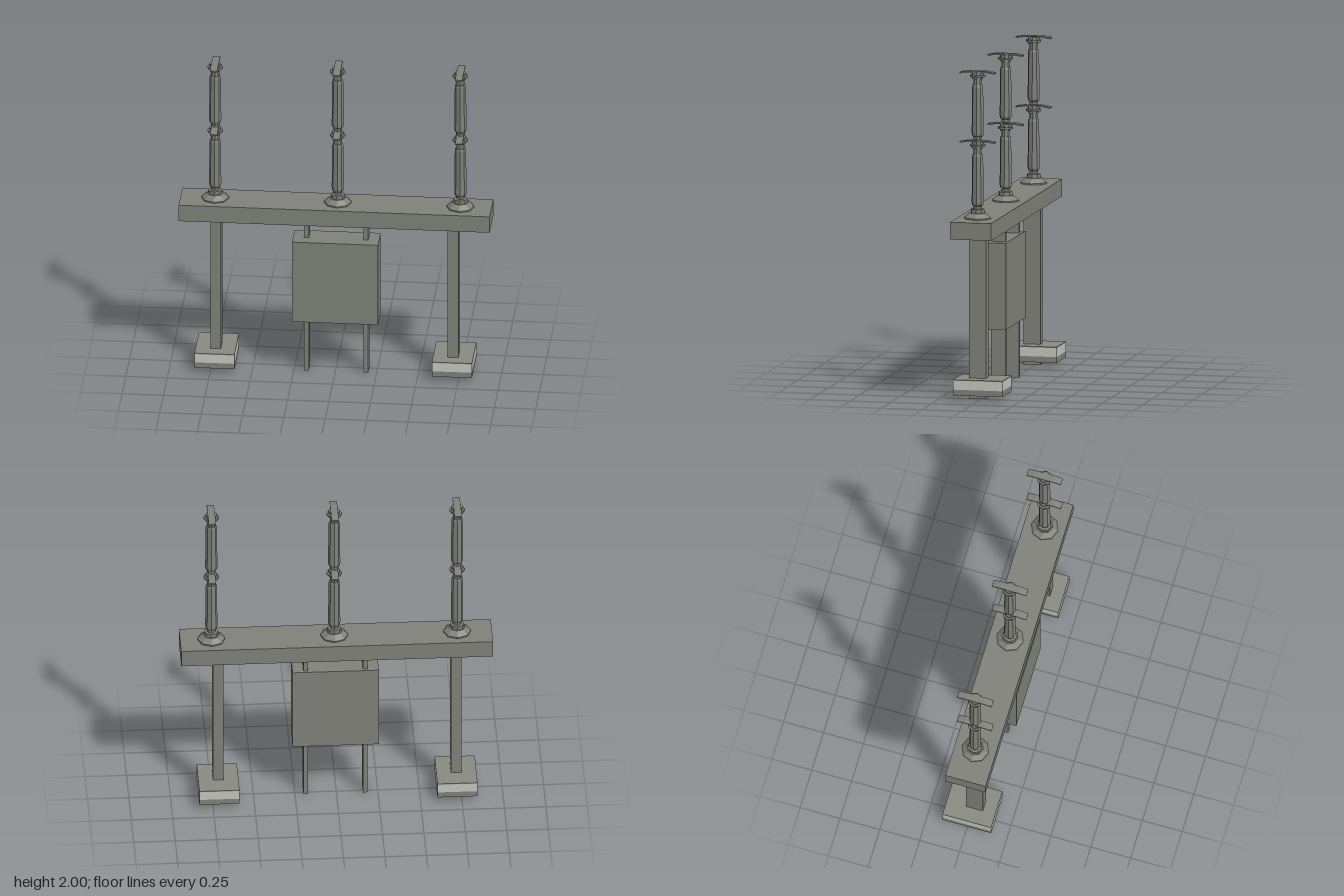
import * as THREE from 'three';

const metal = new THREE.MeshStandardMaterial({ color: 0x7f8179 });
metal.name = 'grey metal';
const concrete = new THREE.MeshStandardMaterial({ color: 0xc4c6be });
concrete.name = 'pale concrete';
const slab = new THREE.MeshStandardMaterial({ color: 0x888a82 });
slab.name = 'slab grey';

const MID_Z = 0.02;

function add(parent, name, geometry, material, x = 0, y = 0, z = 0) {
  const mesh = new THREE.Mesh(geometry, material);
  mesh.name = name;
  mesh.position.set(x, y, z);
  parent.add(mesh);
  return mesh;
}

// Box given by its minimum and maximum on each axis
function box(parent, name, material, [x0, x1], [y0, y1], [z0, z1]) {
  return add(parent, name, new THREE.BoxGeometry(x1 - x0, y1 - y0, z1 - z0), material,
    (x0 + x1) / 2, (y0 + y1) / 2, (z0 + z1) / 2);
}

function rectangle(target, w, d) {
  target.moveTo(-w / 2, -d / 2);
  target.lineTo(w / 2, -d / 2);
  target.lineTo(w / 2, d / 2);
  target.lineTo(-w / 2, d / 2);
  target.closePath();
  return target;
}

// Upright rectangular tube standing on its own y = 0
function tube(w, d, height, wall) {
  const shape = rectangle(new THREE.Shape(), w, d);
  shape.holes.push(rectangle(new THREE.Path(), w - 2 * wall, d - 2 * wall));
  const geometry = new THREE.ExtrudeGeometry(shape, { depth: height, bevelEnabled: false });
  return geometry.rotateX(-Math.PI / 2);
}

// Eight-sided turned part with flat faces
function turned(points) {
  const profile = points.map(([r, y]) => new THREE.Vector2(r, y));
  const geometry = new THREE.LatheGeometry(profile, 8).toNonIndexed();
  geometry.computeVertexNormals();
  return geometry;
}

// Terminal strip, its ends drooping slightly
function terminal() {
  const shape = new THREE.Shape();
  [[-0.108, -0.012], [-0.06, -0.004], [0.06, -0.004], [0.108, -0.012],
    [0.108, -0.004], [0.06, 0.004], [-0.06, 0.004], [-0.108, -0.004]]
    .forEach(([z, y], i) => (i ? shape.lineTo(z, y) : shape.moveTo(z, y)));
  const geometry = new THREE.ExtrudeGeometry(shape, { depth: 0.044, bevelEnabled: false });
  return geometry.translate(0, 0, -0.022).rotateY(Math.PI / 2);
}

// One column section: neck, body, neck and stepped cap, 0.42 tall
const section = [
  [0.026, 0], [0.026, 0.018], [0.034, 0.024], [0.037, 0.04], [0.034, 0.32],
  [0.03, 0.335], [0.025, 0.335], [0.025, 0.37], [0.034, 0.37], [0.034, 0.382],
  [0.047, 0.382], [0.047, 0.394], [0.035, 0.394], [0.035, 0.412], [0, 0.412],
];

function insulator(x) {
  const group = new THREE.Group();
  group.name = 'insulator';
  group.position.set(x, 0, MID_Z);
  add(group, 'insulatorBase', turned([
    [0.083, 1.1], [0.083, 1.108], [0.05, 1.135], [0.042, 1.135], [0.042, 1.158], [0, 1.162],
  ]), metal);
  for (const [y, name] of [[1.158, 'lower'], [1.58, 'upper']]) {
    add(group, name + 'Column', turned(section), metal, 0, y);
    add(group, name + 'Terminal', terminal(), metal, 0, y + 0.414);
  }
  return group;
}

// Hollow footing around the foot of a post
function support(x) {
  const group = new THREE.Group();
  group.name = 'support';
  group.position.x = x;
  add(group, 'post', tube(0.064, 0.105, 0.995, 0.01), metal, 0, 0, 0.022);
  add(group, 'footingRim', tube(0.242, 0.305, 0.035, 0.025), metal, 0, 0.03);
  add(group, 'footingSide', tube(0.242, 0.305, 0.055, 0.025), concrete, 0, 0.065);
  box(group, 'footingTop', slab, [-0.121, 0.121], [0.12, 0.126], [-0.1525, 0.1525]);
  return group;
}

export function createModel() {
  const model = new THREE.Group();
  model.name = 'switchgearFrame';

  // Cross beam and cabinet
  box(model, 'beam', metal, [-0.94, 0.94], [0.995, 1.1], [-0.107, 0.146]);
  box(model, 'cabinet', metal, [-0.255, 0.265], [0.352, 0.88], [-0.04, 0.138]);

  // Main posts with footings
  for (const x of [-0.723, 0.712]) model.add(support(x));

  // Slim cabinet legs running up to the beam
  for (const x of [-0.174, 0.185]) {
    add(model, 'cabinetLeg', tube(0.028, 0.09, 0.995, 0.005), metal, x, 0, 0.022);
  }

  // Row of insulators
  for (const x of [-0.73, 0.011, 0.752]) model.add(insulator(x));

  return model;
}
